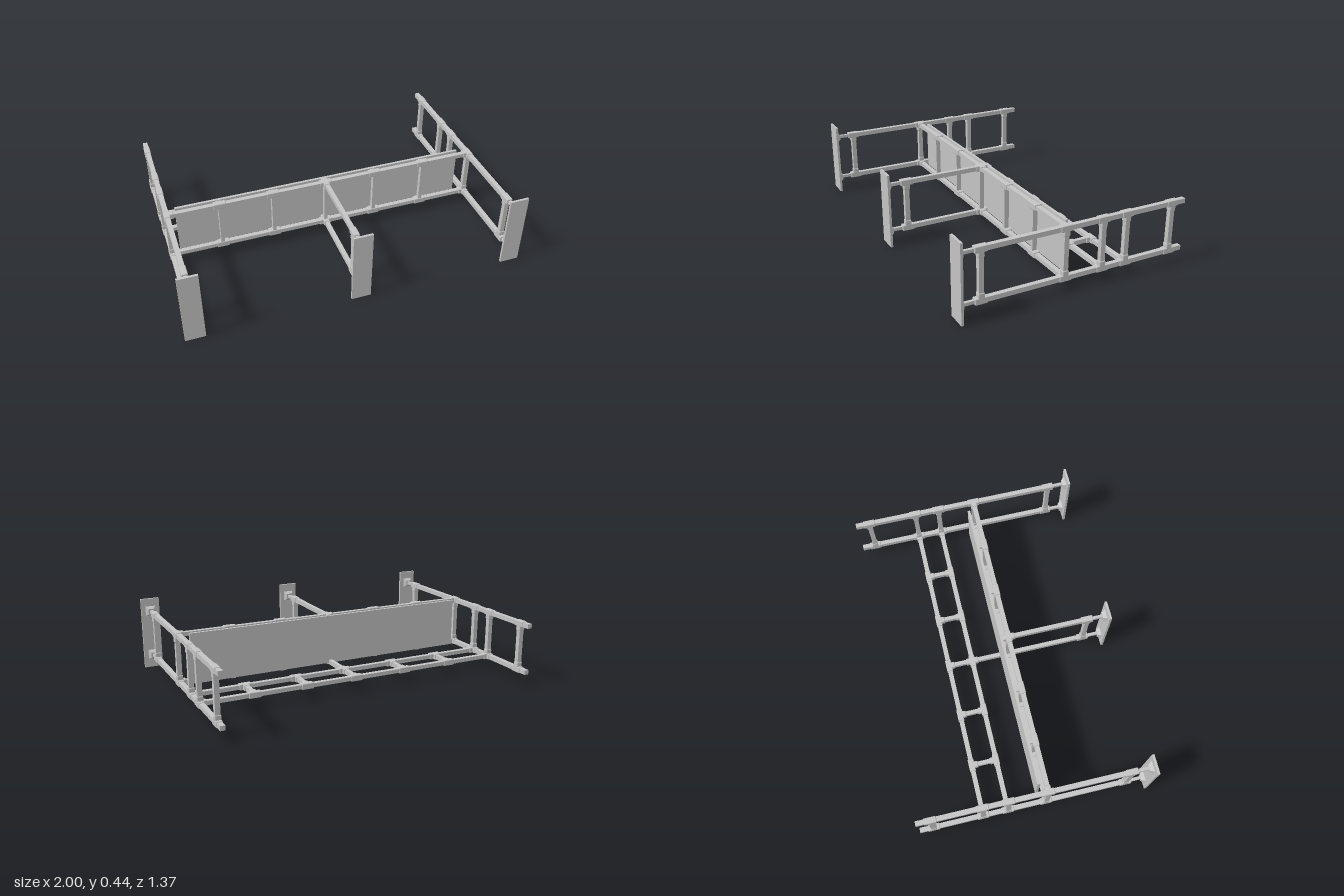
import * as THREE from 'three';
import { RoundedBoxGeometry } from 'three/addons/geometries/RoundedBoxGeometry.js';

const steel = new THREE.MeshStandardMaterial({ color: 0xc4c4c4 });
steel.name = 'galvanised grey';

const LOW = 0.083, HIGH = 0.366;      // rail heights
const END_X = 0.943;                  // end frames at +-END_X
const CENTRE = 0.003;                 // centre frame
const FRONT = 0.553, MID = 0.069, BACK_A = -0.159, BACK_B = -0.308, TAIL = -0.602;
const BAYS = [-0.64, -0.322, CENTRE, 0.315, 0.632];

export function createModel() {
  const model = new THREE.Group();
  model.name = 'railFrame';

  // Square-edged bar or plate between two opposite corners
  function block(name, x0, x1, y0, y1, z0, z1) {
    const mesh = new THREE.Mesh(new THREE.BoxGeometry(x1 - x0, y1 - y0, z1 - z0), steel);
    mesh.position.set((x0 + x1) / 2, (y0 + y1) / 2, (z0 + z1) / 2);
    mesh.name = name;
    model.add(mesh);
  }

  const barX = (name, x0, x1, y, z) => block(name, x0, x1, y - 0.012, y + 0.012, z - 0.014, z + 0.014);
  const barY = (name, x, z, half = 0.014) => block(name, x - half, x + half, LOW, HIGH, z - 0.014, z + 0.014);
  const barZ = (name, x, y, z0, z1, half = 0.014) => block(name, x - half, x + half, y - 0.0135, y + 0.0135, z0, z1);

  // Clamp fitting: a sleeve along one axis with necks towards the joining bars
  function fitting(x, y, z, axis, necks) {
    const group = new THREE.Group();
    group.name = 'clampFitting';
    const add = (name, size, pos) => {
      const mesh = new THREE.Mesh(new RoundedBoxGeometry(...size, 1, 0.005), steel);
      mesh.position.set(...pos);
      mesh.name = name;
      group.add(mesh);
    };
    add('sleeve', axis === 'x' ? [0.074, 0.036, 0.036] : [0.036, 0.036, 0.072], [0, 0, 0]);
    for (const dir of necks) {
      const size = dir.map(d => (d ? 0.04 : 0.036));
      add('neck', size, dir.map(d => d * 0.018));
    }
    group.position.set(x, y, z);
    model.add(group);
  }

  // Wall plate with two tapered flanges and their spigots
  function wallMount(x) {
    block('wallPlate', x - 0.057, x + 0.057, 0, 0.445, 0.67, 0.684);
    for (const y of [LOW, HIGH]) {
      const flange = new THREE.Mesh(
        new THREE.CylinderGeometry(0.017 * Math.SQRT2, 0.031 * Math.SQRT2, 0.023, 4, 1).toNonIndexed(), steel);
      flange.geometry.rotateY(Math.PI / 4);
      flange.geometry.rotateX(-Math.PI / 2);
      flange.geometry.computeVertexNormals();
      flange.position.set(x, y, 0.6595);
      flange.name = 'flange';
      model.add(flange);
      block('spigot', x - 0.009, x + 0.009, y - 0.009, y + 0.009, 0.57, 0.662);
    }
  }

  // End frames: two long rails, five uprights
  for (const side of [-1, 1]) {
    const x = side * END_X;
    for (const y of [LOW, HIGH]) {
      barZ('endRail', x, y, -0.685, 0.57);
      const up = [0, y === LOW ? 1.35 : -1.35, 0];
      for (const z of [FRONT, MID, BACK_A, BACK_B, TAIL]) {
        const joinsCross = z === MID || (y === LOW && (z === BACK_A || z === BACK_B));
        fitting(x, y, z, 'z', joinsCross ? [up, [-side, 0, 0]] : [up]);
      }
    }
    for (const z of [FRONT, MID, BACK_A, BACK_B, TAIL]) barY('endUpright', x, z);
    wallMount(x);
  }

  // Centre frame
  for (const y of [LOW, HIGH]) {
    barZ('centreRail', CENTRE, y, y === LOW ? BACK_B : MID, 0.57, 0.0125);
    fitting(CENTRE, y, FRONT, 'z', [[0, y === LOW ? 1.35 : -1.35, 0]]);
  }
  barY('centreUpright', CENTRE, FRONT);
  wallMount(CENTRE);

  // Cross rails
  for (const y of [LOW, HIGH]) barX('frontCrossRail', -END_X, END_X, y, MID);
  for (const z of [BACK_A, BACK_B]) barX('backCrossRail', -END_X, END_X, LOW, z);

  // Bay uprights in front of the panel, and ladder rungs at the back
  for (const x of BAYS) {
    barY('bayUpright', x, MID, 0.0105);
    for (const y of [LOW, HIGH]) {
      fitting(x, y, MID, 'x', x === CENTRE ? [[0, 0, 1], [0, 0, -1]] : []);
      block('panelClip', x - 0.014, x + 0.014, y - 0.012, y + 0.006, 0.03, MID);
    }
    barZ('rung', x, LOW, BACK_B, BACK_A, 0.0125);
    fitting(x, LOW, BACK_A, 'x', x === CENTRE ? [[0, 0, -1], [0, 0, 1]] : [[0, 0, -1]]);
    fitting(x, LOW, BACK_B, 'x', [[0, 0, 1]]);
  }

  // Long flat panel
  block('panel', -0.89, 0.885, 0.078, 0.377, 0.019, 0.035);

  return model;
}
